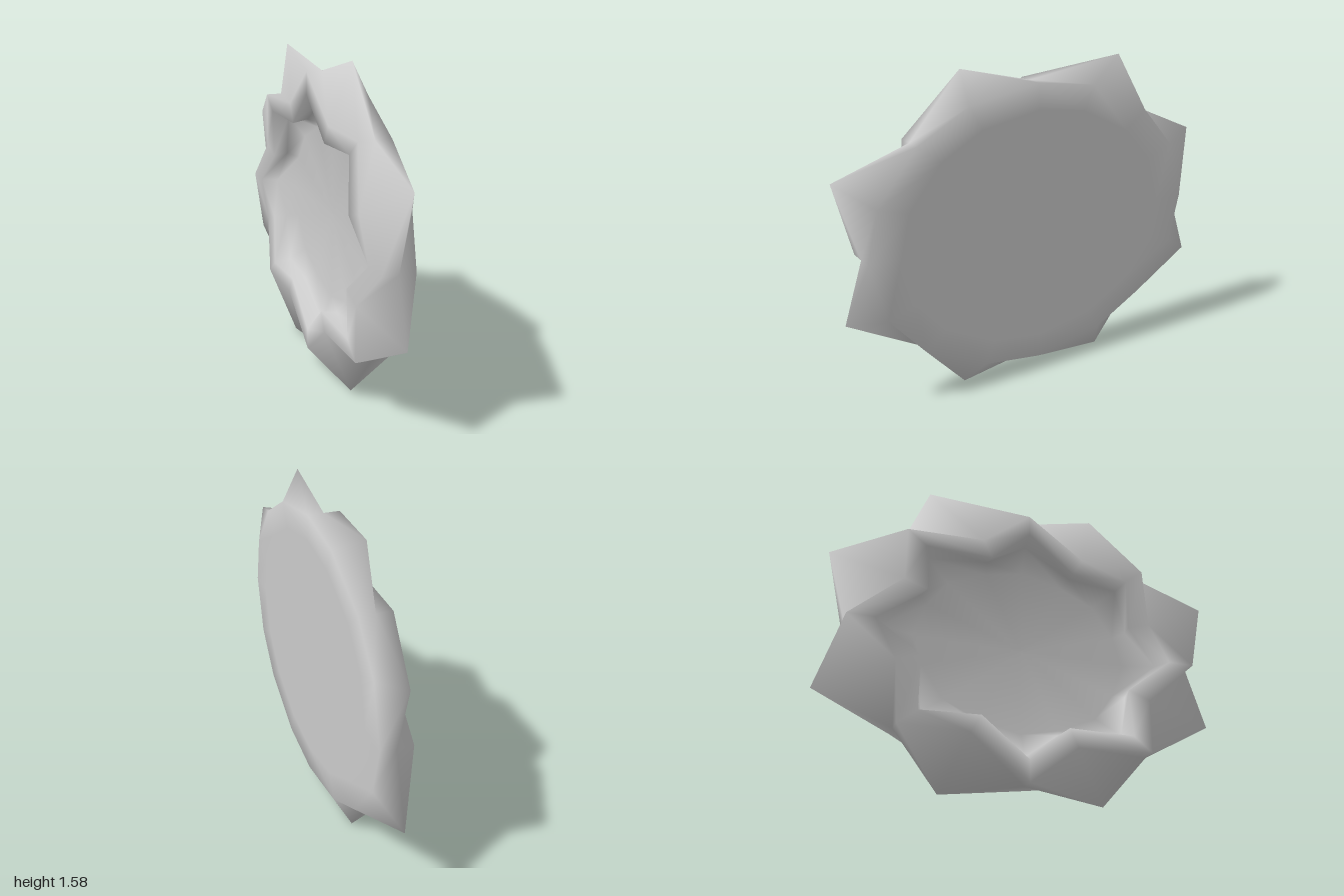
import * as THREE from 'three';

const CENTRE_Y = 0.78, RZ = 0.887, RY = 0.705;

// The eight outer points: angle in degrees and radius relative to the oval
const TIPS = [[25.2, 1.248], [69.7, 1.203], [117.6, 1.242], [156.5, 1.208],
  [204, 1.238], [247.3, 1.2], [292, 1.172], [339, 1.187]];

// Ring of 16 points on the oval; even points are valleys, odd points lie between them
function ring(x, valley, between, tips) {
  const points = [];
  for (let k = 0; k < 8; k++) {
    const pairs = [[k * 45, valley], tips ? tips[k] : [k * 45 + 20.5, between]];
    for (const [deg, r] of pairs) {
      const t = THREE.MathUtils.degToRad(deg);
      points.push([x, CENTRE_Y + RY * r * Math.sin(t), RZ * r * Math.cos(t)]);
    }
  }
  return points;
}

// Skin consecutive rings with shared, smooth normals
function loft(rings) {
  const n = rings[0].length, index = [];
  for (let i = 0; i < rings.length - 1; i++) {
    for (let j = 0; j < n; j++) {
      const k = (j + 1) % n;
      const a = i * n + j, b = i * n + k, c = a + n, d = b + n;
      index.push(a, b, c, b, d, c);
    }
  }
  const geometry = new THREE.BufferGeometry();
  geometry.setAttribute('position', new THREE.Float32BufferAttribute(rings.flat(2), 3));
  geometry.setIndex(index);
  geometry.computeVertexNormals();
  return geometry;
}

export function createModel() {
  const group = new THREE.Group();
  group.name = 'starDish';
  const material = new THREE.MeshStandardMaterial({ color: 0xcccccc, side: THREE.DoubleSide });

  const dish = new THREE.Mesh(loft([
    ring(0.078, 0, 0),            // middle of the closed face
    ring(0.078, 0.82, 0.82),
    ring(0.078, 1, 1),            // edge of the closed face
    ring(0, 1, 1, TIPS),          // pointed waist
    ring(-0.078, 1, 0.78),        // outer edge of the open rim
    ring(-0.078, 0.85, 0.64),     // inner edge of the open rim
    ring(0, 0.8, 0.66),           // inner wall
    ring(0.05, 0.62, 0.6),        // edge of the hollow's floor
    ring(0.055, 0, 0),            // middle of the floor
  ]), material);
  dish.name = 'dish';
  group.add(dish);
  return group;
}
